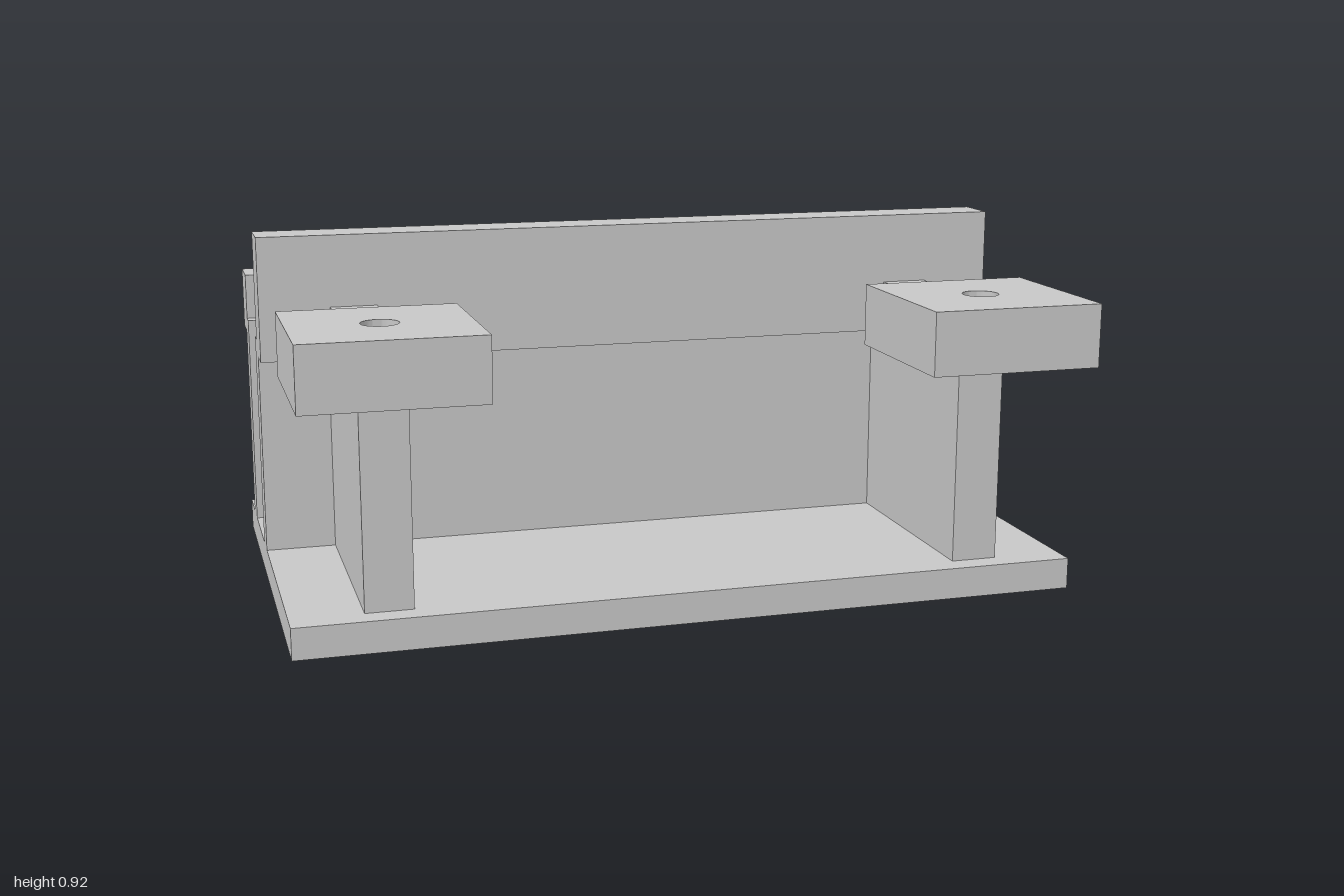
import * as THREE from 'three';
import { toCreasedNormals } from 'three/addons/utils/BufferGeometryUtils.js';

const lightGrey = new THREE.MeshStandardMaterial({ color: 0xc8c8c8 });
lightGrey.name = 'lightGrey';

// Extrudes a [z, y] side profile along x, from x0 to x1.
function profileMesh(name, points, x0, x1) {
  const shape = new THREE.Shape(points.map(([z, y]) => new THREE.Vector2(-z, y)));
  const geometry = new THREE.ExtrudeGeometry(shape, { depth: x1 - x0, bevelEnabled: false });
  geometry.rotateY(Math.PI / 2).translate(x0, 0, 0);
  const mesh = new THREE.Mesh(geometry, lightGrey);
  mesh.name = name;
  return mesh;
}

// Rectangular side profile.
const rect = (z0, z1, y0, y1) => [[z0, y0], [z0, y1], [z1, y1], [z1, y0]];

// Square mounting pad with a vertical through hole.
function padMesh(name, x) {
  const half = 0.22;
  const shape = new THREE.Shape([[-half, -half], [half, -half], [half, half], [-half, half]]
    .map(([a, b]) => new THREE.Vector2(a, b)));
  shape.holes.push(new THREE.Path().absarc(0, 0, 0.046, 0, Math.PI * 2, true));
  let geometry = new THREE.ExtrudeGeometry(shape, { depth: 0.16, bevelEnabled: false, curveSegments: 32 });
  geometry.rotateX(-Math.PI / 2);
  geometry = toCreasedNormals(geometry, 0.6);
  const mesh = new THREE.Mesh(geometry, lightGrey);
  mesh.position.set(x, 0.615, 0.43);
  mesh.name = name;
  return mesh;
}

export function createModel() {
  const group = new THREE.Group();
  group.name = 'channelBracket';

  // Base plate and front wall with its offset upper rail
  group.add(profileMesh('basePlate', rect(0.51, -0.65, 0, 0.08), -1, 1));
  group.add(profileMesh('frontWall', [
    [-0.13, 0.08], [-0.13, 0.6], [-0.05, 0.6], [-0.05, 0.92],
    [-0.17, 0.92], [-0.17, 0.64], [-0.21, 0.64], [-0.21, 0.08],
  ], -1, 1));

  // Rear wall: two long runs either side of a small central opening
  const rearProfile = [
    [-0.45, 0.08], [-0.45, 0.64], [-0.49, 0.64], [-0.49, 0.76],
    [-0.61, 0.76], [-0.61, 0.6], [-0.53, 0.6], [-0.53, 0.08],
  ];
  const slot = 0.08;
  group.add(profileMesh('rearWallRight', rearProfile, -1, -slot));
  group.add(profileMesh('rearWallLeft', rearProfile, slot, 1));
  group.add(profileMesh('rearWallBelowSlot', rect(-0.45, -0.53, 0.08, 0.545), -slot, slot));
  group.add(profileMesh('rearRailAboveSlot', rect(-0.49, -0.61, 0.7, 0.76), -slot, slot));

  // Support ribs and drilled pads, mirrored
  const ribProfile = [
    [0.45, 0.08], [0.45, 0.615], [0.21, 0.615], [0.21, 0.735],
    [-0.05, 0.735], [-0.05, 0.6], [-0.13, 0.6], [-0.13, 0.08],
  ];
  for (const [side, s] of [['Left', 1], ['Right', -1]]) {
    group.add(profileMesh('supportRib' + side, ribProfile, s * 0.76 - 0.06, s * 0.76 + 0.06));
    group.add(padMesh('mountingPad' + side, s * 0.76));
  }
  return group;
}
